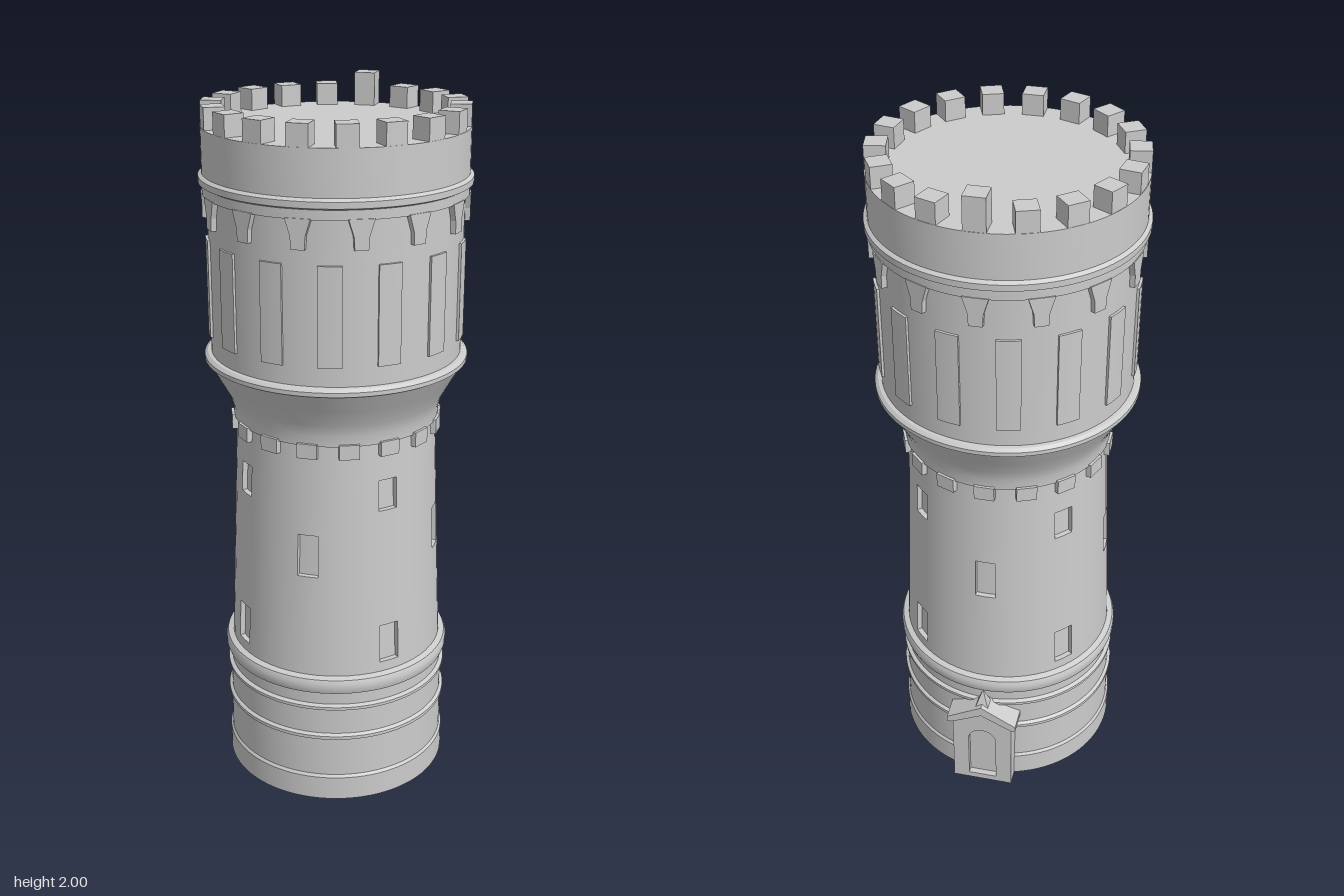
import * as THREE from 'three';
import { toCreasedNormals } from 'three/addons/utils/BufferGeometryUtils.js';

const stone = new THREE.MeshStandardMaterial({ color: 0xcccccc });
stone.name = 'grey stone';

function part(name, geometry, parent) {
  const mesh = new THREE.Mesh(geometry, stone);
  mesh.name = name;
  parent.add(mesh);
  return mesh;
}

// Turned section from [radius, height] pairs, bottom to top
function turned(name, profile, parent) {
  const geo = new THREE.LatheGeometry(profile.map(([r, y]) => new THREE.Vector2(r, y)), 96);
  return part(name, toCreasedNormals(geo, 0.5), parent);
}

// Round wall of cells; offset(column, row) pushes a cell in or out, with stepped sides
function steppedWall(name, columns, rows, radius, offset, parent) {
  const pos = [];
  const point = (i, y, d) => {
    const a = (i / columns) * Math.PI * 2, r = radius(y) + d;
    return [r * Math.sin(a), y, r * Math.cos(a)];
  };
  const quad = (a, b, c, d) => pos.push(...a, ...b, ...c, ...a, ...c, ...d);
  for (let j = 0; j < rows.length - 1; j++) {
    const y0 = rows[j], y1 = rows[j + 1];
    for (let i = 0; i < columns; i++) {
      const d = offset(i, j), side = offset((i + 1) % columns, j);
      const above = j < rows.length - 2 ? offset(i, j + 1) : d;
      quad(point(i, y0, d), point(i + 1, y0, d), point(i + 1, y1, d), point(i, y1, d));
      if (side !== d)
        quad(point(i + 1, y0, d), point(i + 1, y0, side), point(i + 1, y1, side), point(i + 1, y1, d));
      if (above !== d)
        quad(point(i, y1, d), point(i + 1, y1, d), point(i + 1, y1, above), point(i, y1, above));
    }
  }
  const geo = new THREE.BufferGeometry();
  geo.setAttribute('position', new THREE.Float32BufferAttribute(pos, 3));
  return part(name, toCreasedNormals(geo, 0.5), parent);
}

// Copies of a piece made at the front, spread evenly around the tower
function ring(name, count, geometry, parent) {
  const group = new THREE.Group();
  group.name = name + 's';
  for (let k = 0; k < count; k++) part(name, geometry, group).rotation.y = (k / count) * Math.PI * 2;
  parent.add(group);
  return group;
}

function polygon(points) {
  return new THREE.Shape(points.map(([x, y]) => new THREE.Vector2(x, y)));
}

function extrude(shape, depth, z) {
  return new THREE.ExtrudeGeometry(shape, { depth, bevelEnabled: false, curveSegments: 12 }).translate(0, 0, z);
}

export function createModel() {
  const tower = new THREE.Group();
  tower.name = 'tower';

  // Banded base
  turned('base', [
    [0, 0], [0.326, 0], [0.326, 0.072], [0.32, 0.08], [0.32, 0.2], [0.327, 0.204], [0.327, 0.214],
    [0.318, 0.22], [0.318, 0.298], [0.326, 0.302], [0.326, 0.311], [0.315, 0.316], [0.315, 0.352],
    [0.327, 0.358], [0.331, 0.37], [0.331, 0.388], [0.326, 0.4], [0.308, 0.406],
  ], tower);

  // Tapering shaft with recessed windows, alternating between the axes and the diagonals
  steppedWall('shaft', 64, [0.4, 0.435, 0.55, 0.71, 0.835, 0.9, 0.99, 1.13],
    (y) => 0.31 - (y - 0.4) * 0.04,
    (i, j) => {
      const near = (centre) => (i - centre + 65) % 16 < 2;
      const open = j === 3 ? near(0) : (j === 1 || j === 5) && near(8);
      return open ? -0.015 : 0;
    }, tower);

  // Flared neck on small corbels
  turned('neck', [
    [0.27, 1.098], [0.29, 1.1], [0.291, 1.13], [0.302, 1.165], [0.33, 1.215], [0.358, 1.265],
    [0.367, 1.27], [0.367, 1.282], [0.358, 1.29], [0.34, 1.293],
  ], tower);
  ring('corbel', 16, new THREE.BoxGeometry(0.056, 0.042, 0.045).translate(0, 1.086, 0.275), tower);

  // Upper drum with tall raised panels
  steppedWall('drum', 140, [1.28, 1.344, 1.614, 1.745], () => 0.348,
    (i, j) => (j === 1 && i % 10 >= 3 && i % 10 < 7 ? 0.007 : 0), tower);

  // Brackets between the panels, widening under the parapet
  const bracket = polygon([
    [-0.018, 1.655], [0.018, 1.655], [0.02, 1.69], [0.034, 1.735], [-0.034, 1.735], [-0.02, 1.69],
  ]);
  ring('bracket', 14, extrude(bracket, 0.032, 0.33), tower);

  // Parapet, roof floor and merlons
  turned('parapet', [
    [0.34, 1.73], [0.36, 1.732], [0.36, 1.758], [0.37, 1.763], [0.37, 1.78], [0.36, 1.787],
    [0.36, 1.91], [0, 1.91],
  ], tower);
  const merlons = ring('merlon', 18, new THREE.BoxGeometry(0.058, 0.066, 0.057).translate(0, 1.935, 0.33), tower);
  // The back merlon is taller
  const tall = merlons.children[9];
  tall.name = 'tallMerlon';
  tall.geometry = new THREE.BoxGeometry(0.058, 0.098, 0.057).translate(0, 1.951, 0.33);

  // Gabled porch with an arched doorway, turned to the back
  const porch = new THREE.Group();
  porch.name = 'porch';
  const front = polygon([[-0.09, 0], [0.09, 0], [0.09, 0.27], [0, 0.315], [-0.09, 0.27]]);
  const arch = new THREE.Path();
  arch.moveTo(-0.042, 0.02);
  arch.lineTo(0.042, 0.02);
  arch.lineTo(0.042, 0.175);
  arch.absarc(0, 0.175, 0.042, 0, Math.PI, false);
  arch.lineTo(-0.042, 0.02);
  front.holes.push(arch);
  part('doorFrame', extrude(front, 0.018, 0.342), porch);
  part('door', new THREE.BoxGeometry(0.18, 0.27, 0.1).translate(0, 0.135, 0.292), porch);
  const gable = polygon([
    [-0.105, 0.25], [-0.09, 0.25], [0, 0.295], [0.09, 0.25], [0.105, 0.25], [0.105, 0.268], [0, 0.328], [-0.105, 0.268],
  ]);
  part('porchRoof', extrude(gable, 0.1, 0.272), porch);
  const finial = new THREE.ConeGeometry(0.032, 0.07, 4).rotateY(Math.PI / 4).toNonIndexed();
  finial.computeVertexNormals();
  part('finial', finial.translate(0, 0.34, 0.34), porch);
  porch.rotation.y = Math.PI;
  tower.add(porch);

  return tower;
}
